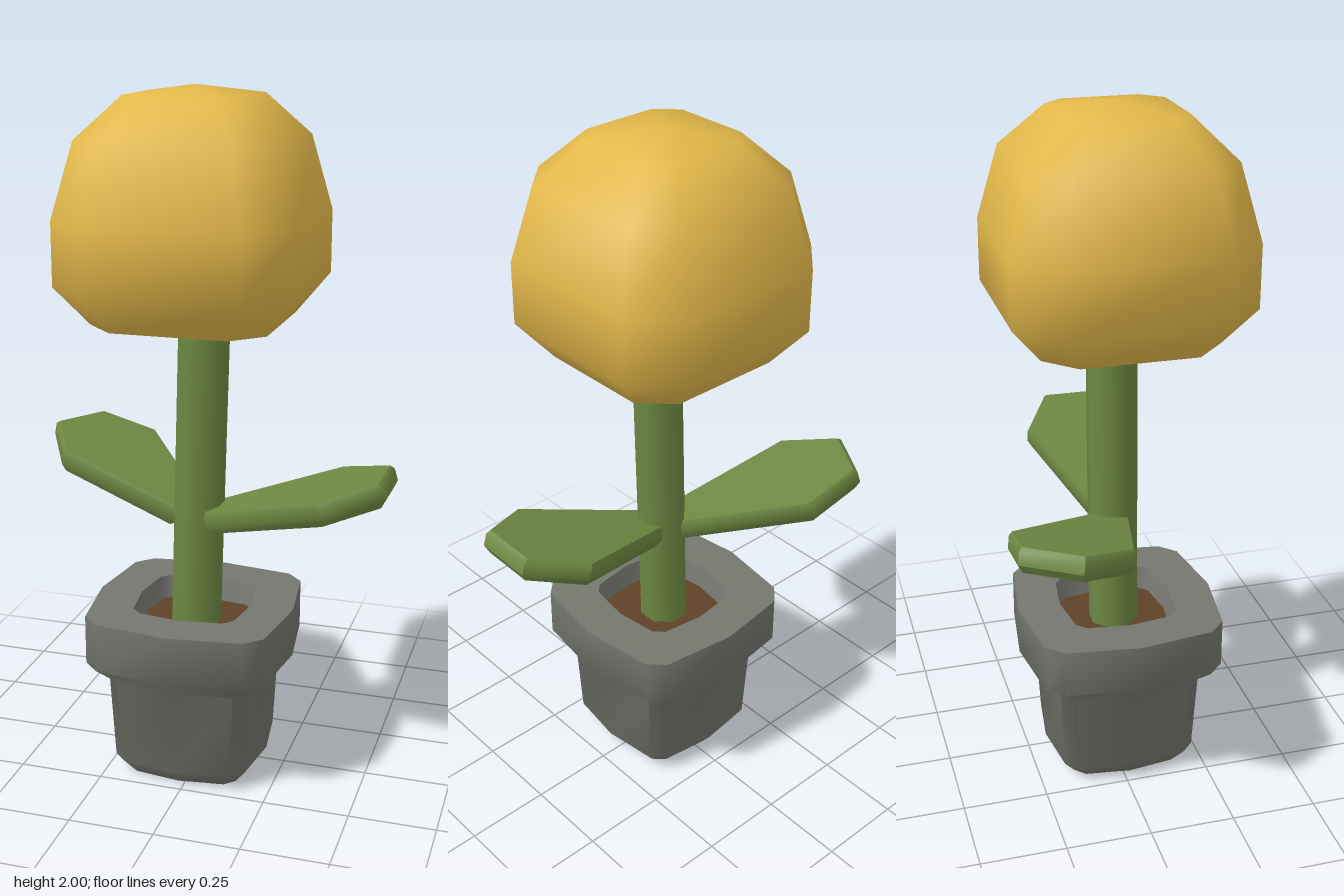
import * as THREE from 'three';
import { toCreasedNormals } from 'three/addons/utils/BufferGeometryUtils.js';

const material = (name, color) => {
  const m = new THREE.MeshStandardMaterial({ color });
  m.name = name;
  return m;
};

// Skin a stack of equal-length rings, listed from the underside upward
function loft(rings, crease) {
  const positions = [];
  const tri = new THREE.Triangle();
  const add = (a, b, c) => {
    tri.set(a, b, c);
    if (tri.getArea() > 1e-8) for (const p of [a, b, c]) positions.push(p.x, p.y, p.z);
  };
  for (let r = 0; r < rings.length - 1; r++) {
    const low = rings[r], high = rings[r + 1];
    for (let i = 0; i < low.length; i++) {
      const j = (i + 1) % low.length;
      add(low[i], high[i], low[j]);
      add(low[j], high[i], high[j]);
    }
  }
  const geometry = new THREE.BufferGeometry();
  geometry.setAttribute('position', new THREE.Float32BufferAttribute(positions, 3));
  return toCreasedNormals(geometry, crease);
}

// Repeat one side's [x, z] points four times around the y axis
function fourSided(side) {
  const points = [];
  for (let k = 0; k < 4; k++) {
    const c = Math.round(Math.cos(k * Math.PI / 2)), s = Math.round(Math.sin(k * Math.PI / 2));
    for (const [x, z] of side) points.push([x * c - z * s, x * s + z * c]);
  }
  return points;
}

// Scale a section by each [size, y] step of a profile
const profileRings = (section, profile) =>
  profile.map(([size, y]) => section.map(([x, z]) => new THREE.Vector3(x * size, y, z * size)));

export function createModel() {
  const yellow = material('petal yellow', 0xe3b84a);
  const green = material('leaf green', 0x6c8842);
  const grey = material('pot grey', 0x75776f);
  const brown = material('soil brown', 0x5e4228);

  const model = new THREE.Group();
  model.name = 'pottedFlower';
  const plant = new THREE.Group();
  plant.name = 'plant';
  plant.position.set(-0.022, 0, 0.022);
  model.add(plant);
  const add = (name, geometry, mat) => {
    const mesh = new THREE.Mesh(geometry, mat);
    mesh.name = name;
    plant.add(mesh);
    return mesh;
  };

  // Pot: softly bulging square section with bevelled corners
  const potSection = fourSided([[1, 0], [0.9, 0.74], [0.74, 0.9]]);
  add('pot', loft(profileRings(potSection, [
    [0, 0], [0.183, 0], [0.222, 0.05], [0.236, 0.31],
    [0.297, 0.365], [0.297, 0.51], [0.17, 0.51], [0.152, 0.43],
  ]), 1.0), grey);
  add('soil', loft(profileRings(potSection, [[0.16, 0.445], [0, 0.445]]), 1.0), brown);

  // Stem leaning slightly sideways
  const stemGeometry = new THREE.CylinderGeometry(0.07, 0.07, 0.98, 8, 1);
  stemGeometry.rotateY(Math.PI / 8);
  stemGeometry.scale(1.05, 1, 1.05);
  const stem = add('stem', stemGeometry, green);
  stem.position.set(0.013, 0.91, -0.005);
  stem.rotation.z = -0.027;

  // Flower head: bevelled square section, with a sharp-edged underside
  const headSection = fourSided([[1, -0.66], [1, 0.66]]);
  add('flowerHead', loft(profileRings(headSection, [
    [0.25, 1.36], [0.337, 1.47], [0.337, 1.65], [0.282, 1.86], [0.168, 1.975], [0, 2.0],
  ]), 1.2), yellow);
  add('flowerUnderside', loft(profileRings(headSection, [[0, 1.335], [0.25, 1.36]]), 1.2), yellow);

  // Leaves: thick bevelled blades rising from the stem
  const outline = [[0.04, -0.05], [0.44, -0.178], [0.605, -0.09], [0.605, 0.09], [0.44, 0.178], [0.04, 0.05]];
  const middle = 0.36;
  const leafRings = [[0, 0], [0.92, 0], [1, 0.022], [1, 0.058], [0.96, 0.07], [0, 0.07]].map(([size, y]) =>
    outline.map(([x, z]) => new THREE.Vector3(middle + (x - middle) * size, y, z * size)));
  const leafGeometry = loft(leafRings, 0.7);
  for (const [name, turn] of [['leftLeaf', -0.02], ['rightLeaf', 2.58]]) {
    const leaf = add(name, leafGeometry, green);
    leaf.position.y = 0.72;
    leaf.rotation.set(0, turn, 0.285);
  }
  return model;
}
